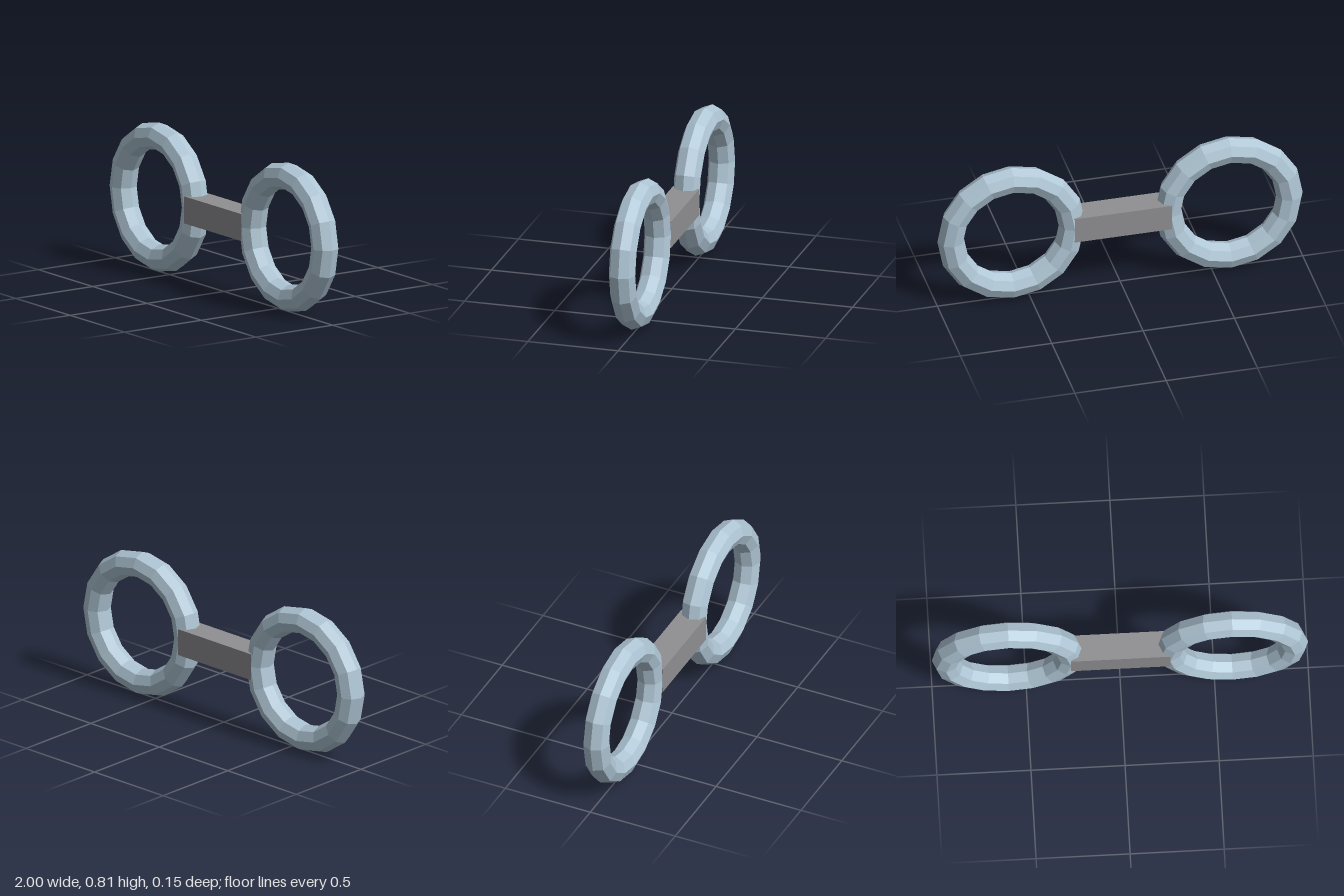
import * as THREE from 'three';

export function createModel() {
  const group = new THREE.Group();

  const paleBlue = new THREE.MeshStandardMaterial({ color: 0xb0c7d6, flatShading: true });
  paleBlue.name = 'paleBlue';
  const grey = new THREE.MeshStandardMaterial({ color: 0x909093, flatShading: true });
  grey.name = 'grey';

  const ringRadius = 0.332;
  const tubeRadius = 0.073;
  const centreY = ringRadius + tubeRadius;
  const centreX = 1 - centreY;

  // Two faceted rings, mirrored left and right
  const ringGeometry = new THREE.TorusGeometry(ringRadius, tubeRadius, 8, 16);
  for (const [name, side] of [['leftRing', 1], ['rightRing', -1]]) {
    const ring = new THREE.Mesh(ringGeometry, paleBlue);
    ring.name = name;
    ring.position.set(side * centreX, centreY, 0);
    group.add(ring);
  }

  // Square bar joining the rings, its ends buried in the tubes
  const bar = new THREE.Mesh(
    new THREE.BoxGeometry(2 * (centreX - ringRadius) + 0.004, 0.147, 0.147),
    grey
  );
  bar.name = 'connectingBar';
  bar.position.y = centreY;
  group.add(bar);

  return group;
}
